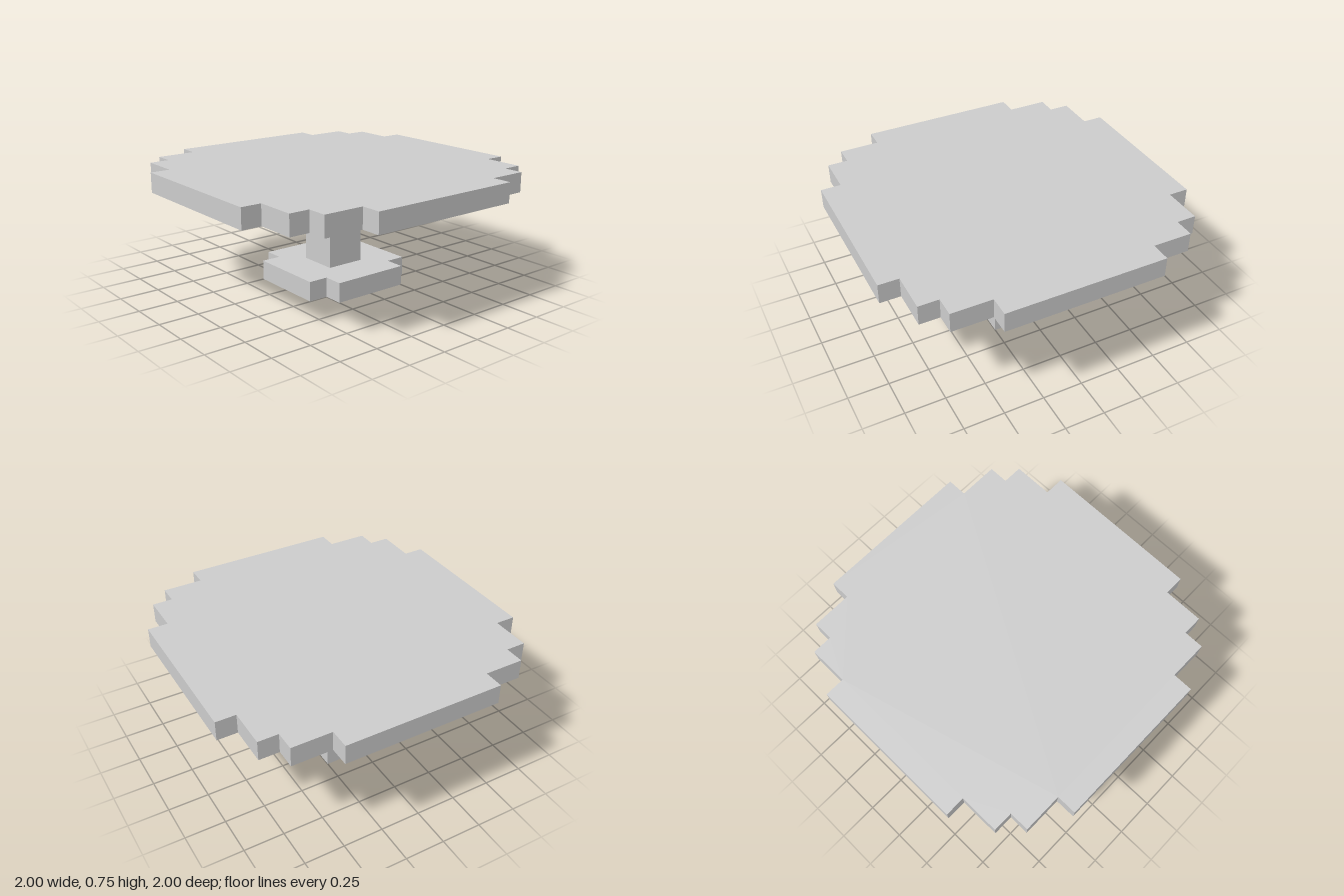
import * as THREE from 'three';

const U = 0.125; // one block unit
const material = new THREE.MeshStandardMaterial({ color: 0xcccccc, flatShading: true });

// Slab with stepped corners: one corner's points (in units) turned to all four corners
function steppedSlab(name, corner, bottom, height) {
  const points = [];
  for (let q = 0; q < 4; q++) {
    for (const [x, y] of corner) {
      let p = [x, y];
      for (let i = 0; i < q; i++) p = [-p[1], p[0]];
      points.push(new THREE.Vector2(p[0] * U, p[1] * U));
    }
  }
  const geometry = new THREE.ExtrudeGeometry(new THREE.Shape(points), {
    depth: height * U,
    bevelEnabled: false,
  });
  geometry.rotateX(-Math.PI / 2);
  geometry.translate(0, bottom * U, 0);
  const mesh = new THREE.Mesh(geometry, material);
  mesh.name = name;
  return mesh;
}

// Square block standing on a given height
function block(name, width, bottom, height) {
  const mesh = new THREE.Mesh(new THREE.BoxGeometry(width * U, height * U, width * U), material);
  mesh.position.y = (bottom + height / 2) * U;
  mesh.name = name;
  return mesh;
}

export function createModel() {
  const table = new THREE.Group();
  table.name = 'pedestalTable';
  table.add(
    steppedSlab('base', [[3, 2], [2, 2], [2, 3]], 0, 1),
    block('column', 2, 1, 3),
    block('collar', 4, 4, 1),
    steppedSlab('tableTop', [[8, 4], [7, 4], [7, 6], [6, 6], [6, 7], [4, 7], [4, 8]], 5, 1)
  );
  return table;
}
